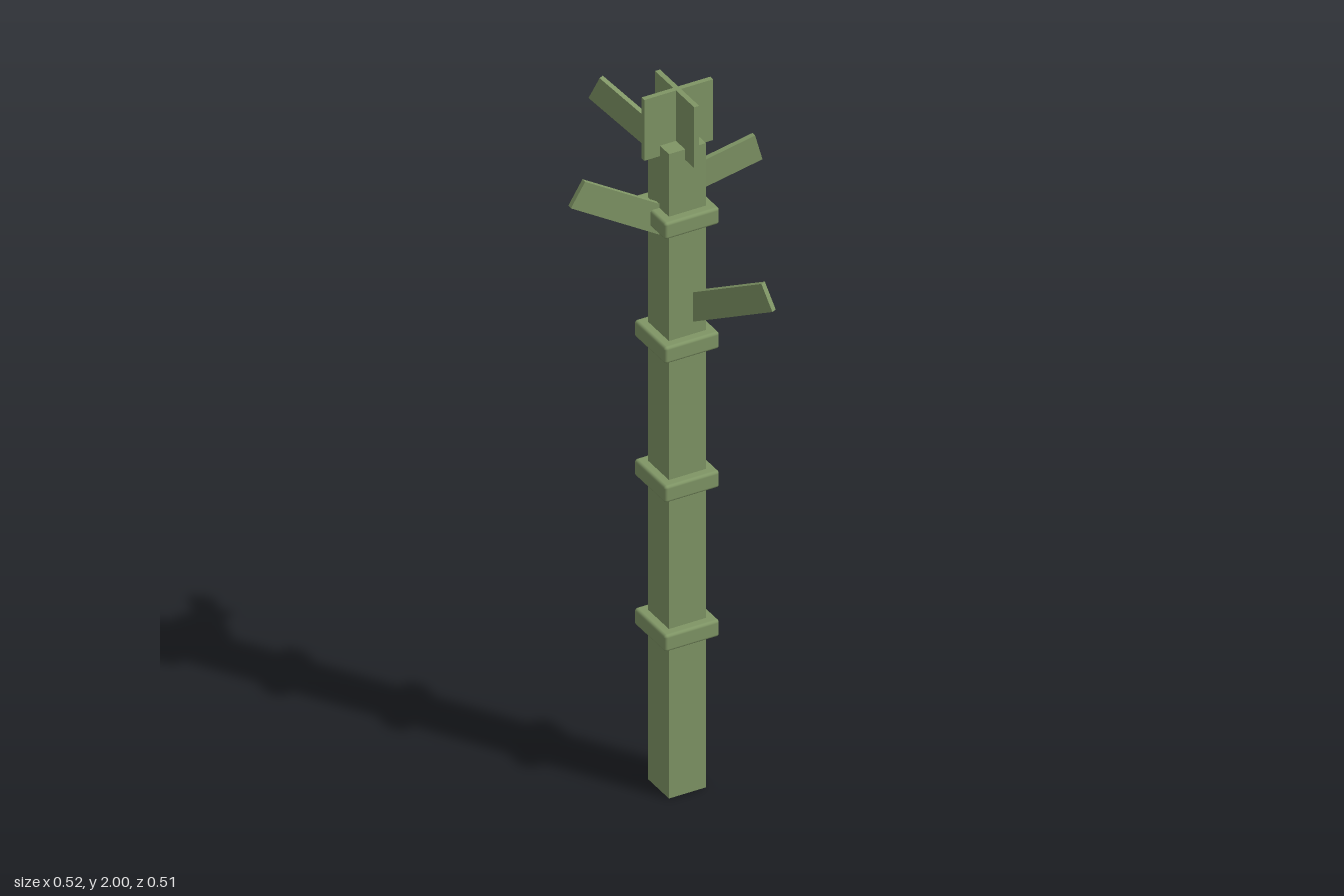
import * as THREE from 'three';
import { RoundedBoxGeometry } from 'three/addons/geometries/RoundedBoxGeometry.js';

export function createModel() {
  const model = new THREE.Group();
  const green = new THREE.MeshStandardMaterial({ color: 0x7f9565 });
  green.name = 'bambooGreen';

  // The stalk axis sits slightly off centre
  const AX = 0.035, AZ = -0.02;

  function add(name, geometry, x, y, z) {
    const mesh = new THREE.Mesh(geometry, green);
    mesh.name = name;
    mesh.position.set(x, y, z);
    model.add(mesh);
    return mesh;
  }

  // Square stalk
  add('stalk', new THREE.BoxGeometry(0.104, 1.855, 0.104), AX, 0.9275, AZ);

  // Bevelled joint rings
  for (const y of [0.464, 0.893, 1.293, 1.651]) {
    add('jointRing', new RoundedBoxGeometry(0.154, 0.048, 0.154, 2, 0.008), AX, y, AZ);
  }

  // Crossed plates at the crown
  add('crownPlateX', new THREE.BoxGeometry(0.193, 0.175, 0.014), 0.036, 1.9125, AZ);
  add('crownPlateZ', new THREE.BoxGeometry(0.014, 0.175, 0.193), 0.0355, 1.9125, AZ);

  // Leaves run from the stalk axis to a tip: [tip x, tip y, tip z, upward tilt in degrees]
  const leaves = [
    [-0.241, 1.777, -0.03, 31],
    [0.25, 1.779, 0.001, 15],
    [0.147, 1.504, 0.235, 26],
    [0.149, 1.568, -0.226, 19],
    [-0.07, 1.92, -0.236, 25.5],
  ];
  for (const [tx, ty, tz, degrees] of leaves) {
    const tilt = THREE.MathUtils.degToRad(degrees);
    const dx = tx - AX, dz = tz - AZ;
    const reach = Math.hypot(dx, dz);
    const leaf = add('leaf', new THREE.BoxGeometry(reach / Math.cos(tilt), 0.076, 0.014),
      AX + dx / 2, ty - reach * Math.tan(tilt) / 2, AZ + dz / 2);
    leaf.rotation.set(0, Math.atan2(-dz, dx), tilt, 'YXZ');
  }

  return model;
}
